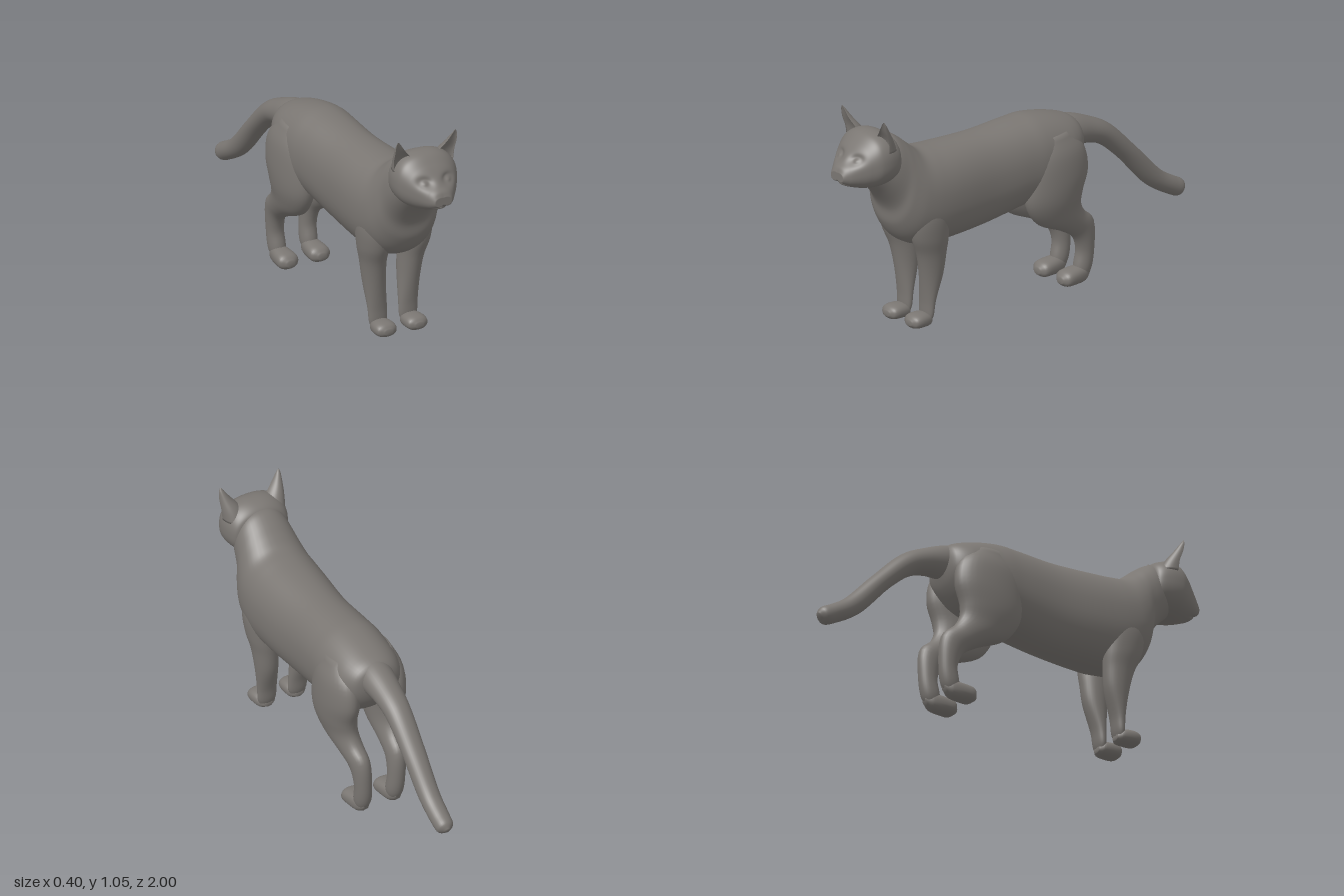
import * as THREE from 'three';

// Lofts smooth oval rings between two rails.
// Section: [x, railA z, railA y, railB z, railB y, half width]
function loft(sections, { rings = 40, sides = 32, power = 2, cup = 1 } = {}) {
  const spline = (f) => new THREE.CatmullRomCurve3(sections.map(f));
  const railA = spline(s => new THREE.Vector3(s[0], s[2], s[1]));
  const railB = spline(s => new THREE.Vector3(s[0], s[4], s[3]));
  const width = spline((s, i) => new THREE.Vector3(i * 0.05, s[5], 0));
  const pos = [], index = [];
  const round = (v) => Math.sign(v) * Math.pow(Math.abs(v), 2 / power);
  for (let i = 0; i <= rings; i++) {
    const t = i / rings;
    const a = railA.getPoint(t), b = railB.getPoint(t), w = width.getPoint(t).y;
    const mid = a.clone().add(b).multiplyScalar(0.5);
    const half = a.clone().sub(b).multiplyScalar(0.5);
    for (let j = 0; j < sides; j++) {
      const angle = j / sides * Math.PI * 2;
      let s = round(Math.sin(angle));
      if (s < 0) s *= cup; // hollows the second half of the ring
      pos.push(mid.x + w * round(Math.cos(angle)), mid.y + half.y * s, mid.z + half.z * s);
      if (i < rings) {
        const p = i * sides + j, q = i * sides + (j + 1) % sides;
        index.push(p, q, q + sides, p, q + sides, p + sides);
      }
    }
  }
  // end caps
  for (const [row, t] of [[0, 0], [rings, 1]]) {
    const c = railA.getPoint(t).add(railB.getPoint(t)).multiplyScalar(0.5);
    const centre = pos.length / 3;
    pos.push(c.x, c.y, c.z);
    for (let j = 0; j < sides; j++) {
      const p = row * sides + j, q = row * sides + (j + 1) % sides;
      if (row) index.push(centre, p, q);
      else index.push(centre, q, p);
    }
  }
  const g = new THREE.BufferGeometry();
  g.setAttribute('position', new THREE.Float32BufferAttribute(pos, 3));
  g.setIndex(index);
  g.computeVertexNormals();
  return g;
}

// Presses eye sockets, eyes, nose and mouth into the head
function sculptFace(g) {
  const p = g.attributes.position;
  const bump = (dx, dy, sx, sy) => Math.exp(-((dx / sx) ** 2) - ((dy / sy) ** 2));
  for (let i = 0; i < p.count; i++) {
    const x = Math.abs(p.getX(i)), y = p.getY(i), z = p.getZ(i);
    if (z < 0.84) continue;
    let dz = -0.024 * bump(x - 0.056, y - 0.868, 0.03, 0.02);
    dz += 0.016 * bump(x - 0.06, y - 0.866, 0.017, 0.012);
    dz += 0.012 * bump(x - 0.03, y - 0.785, 0.028, 0.025);
    dz -= 0.012 * bump(Math.max(0, x - 0.035), y - 0.762 + x * 0.3, 0.015, 0.008);
    p.setZ(i, Math.min(1, z + dz * Math.min(1, (z - 0.84) / 0.05)));
  }
  g.computeVertexNormals();
  return g;
}

export function createModel() {
  const group = new THREE.Group();
  const fur = new THREE.MeshStandardMaterial({ color: 0x7a7672 });
  fur.name = 'grey fur';
  const add = (name, geometry) => {
    const mesh = new THREE.Mesh(geometry, fur);
    mesh.name = name;
    group.add(mesh);
  };

  // torso, chest and neck, from rump to head
  add('body', loft([
    [0, -0.365, 0.71, -0.36, 0.66, 0.03],
    [0, -0.335, 0.78, -0.33, 0.58, 0.115],
    [0, -0.25, 0.815, -0.26, 0.50, 0.16],
    [0, -0.1, 0.843, -0.1, 0.44, 0.175],
    [0, 0, 0.84, 0, 0.425, 0.172],
    [0, 0.2, 0.826, 0.2, 0.39, 0.168],
    [0, 0.4, 0.826, 0.42, 0.373, 0.183],
    [0, 0.5, 0.83, 0.56, 0.375, 0.187],
    [0, 0.57, 0.84, 0.66, 0.42, 0.18],
    [0, 0.62, 0.875, 0.713, 0.50, 0.163],
    [0, 0.67, 0.915, 0.727, 0.58, 0.146],
    [0, 0.72, 0.945, 0.78, 0.66, 0.132],
    [0, 0.77, 0.95, 0.85, 0.73, 0.11],
  ], { rings: 72, sides: 48, power: 2.2 }));

  add('head', sculptFace(loft([
    [0, 0.715, 0.87, 0.715, 0.80, 0.06],
    [0, 0.735, 0.945, 0.735, 0.735, 0.132],
    [0, 0.79, 0.975, 0.79, 0.72, 0.153],
    [0, 0.85, 0.97, 0.85, 0.716, 0.152],
    [0, 0.90, 0.93, 0.90, 0.722, 0.126],
    [0, 0.94, 0.885, 0.94, 0.733, 0.096],
    [0, 0.97, 0.85, 0.97, 0.744, 0.07],
    [0, 0.99, 0.83, 0.99, 0.758, 0.045],
    [0, 1.0, 0.805, 1.0, 0.78, 0.012],
  ], { rings: 110, sides: 128, power: 2.35 })));

  // tail, from tip to base
  add('tail', loft([
    [0, -1.0, 0.295, -0.985, 0.27, 0.012],
    [0, -0.985, 0.325, -0.955, 0.252, 0.04],
    [0, -0.94, 0.35, -0.9, 0.273, 0.046],
    [0, -0.865, 0.395, -0.78, 0.345, 0.049],
    [0, -0.715, 0.545, -0.61, 0.52, 0.055],
    [0, -0.555, 0.695, -0.5, 0.605, 0.062],
    [0, -0.44, 0.752, -0.42, 0.628, 0.07],
    [0, -0.34, 0.787, -0.34, 0.63, 0.08],
    [0, -0.24, 0.80, -0.26, 0.64, 0.08],
  ], { rings: 48 }));

  for (const [side, s] of [['left', 1], ['right', -1]]) {
    const addSide = (name, sections, options) =>
      add(side + name, loft(sections.map(([x, ...rest]) => [s * x, ...rest]), options));

    // pointed ear, hollow in front
    addSide('Ear', [
      [0.105, 0.75, 0.90, 0.89, 0.90, 0.049],
      [0.112, 0.775, 0.95, 0.875, 0.95, 0.045],
      [0.133, 0.81, 1.0, 0.874, 1.0, 0.026],
      [0.145, 0.835, 1.037, 0.863, 1.037, 0.012],
      [0.148, 0.847, 1.053, 0.853, 1.053, 0.003],
    ], { rings: 20, cup: -0.35 });

    // front leg, from shoulder to ankle
    addSide('FrontLeg', [
      [0.11, 0.62, 0.66, 0.48, 0.66, 0.05],
      [0.113, 0.655, 0.54, 0.455, 0.54, 0.068],
      [0.107, 0.645, 0.44, 0.455, 0.42, 0.066],
      [0.098, 0.61, 0.35, 0.46, 0.35, 0.058],
      [0.09, 0.588, 0.25, 0.472, 0.25, 0.053],
      [0.08, 0.572, 0.12, 0.513, 0.12, 0.048],
      [0.078, 0.57, 0.06, 0.525, 0.05, 0.045],
      [0.078, 0.565, 0.02, 0.54, 0.01, 0.03],
    ]);
    addSide('FrontPaw', [
      [0.078, 0.53, 0.04, 0.53, 0.015, 0.02],
      [0.078, 0.55, 0.065, 0.55, 0.004, 0.044],
      [0.08, 0.60, 0.072, 0.60, 0.002, 0.053],
      [0.08, 0.635, 0.064, 0.635, 0.006, 0.048],
      [0.08, 0.652, 0.045, 0.652, 0.02, 0.02],
    ], { rings: 20, power: 2.3 });

    // hind leg, from haunch through hock to ankle
    addSide('HindLeg', [
      [0.11, -0.08, 0.755, -0.23, 0.765, 0.04],
      [0.115, -0.02, 0.66, -0.32, 0.68, 0.074],
      [0.118, 0.002, 0.55, -0.34, 0.57, 0.081],
      [0.116, -0.004, 0.44, -0.312, 0.47, 0.076],
      [0.108, -0.07, 0.345, -0.31, 0.41, 0.064],
      [0.1, -0.21, 0.28, -0.335, 0.36, 0.053],
      [0.092, -0.287, 0.23, -0.394, 0.305, 0.045],
      [0.085, -0.315, 0.16, -0.405, 0.16, 0.04],
      [0.082, -0.305, 0.09, -0.39, 0.065, 0.04],
      [0.082, -0.30, 0.04, -0.36, 0.015, 0.028],
    ]);
    addSide('HindPaw', [
      [0.082, -0.385, 0.06, -0.375, 0.03, 0.015],
      [0.082, -0.35, 0.085, -0.345, 0.008, 0.038],
      [0.082, -0.28, 0.083, -0.28, 0.003, 0.05],
      [0.082, -0.24, 0.073, -0.24, 0.005, 0.049],
      [0.082, -0.218, 0.05, -0.218, 0.02, 0.02],
    ], { rings: 20, power: 2.3 });
  }
  return group;
}
